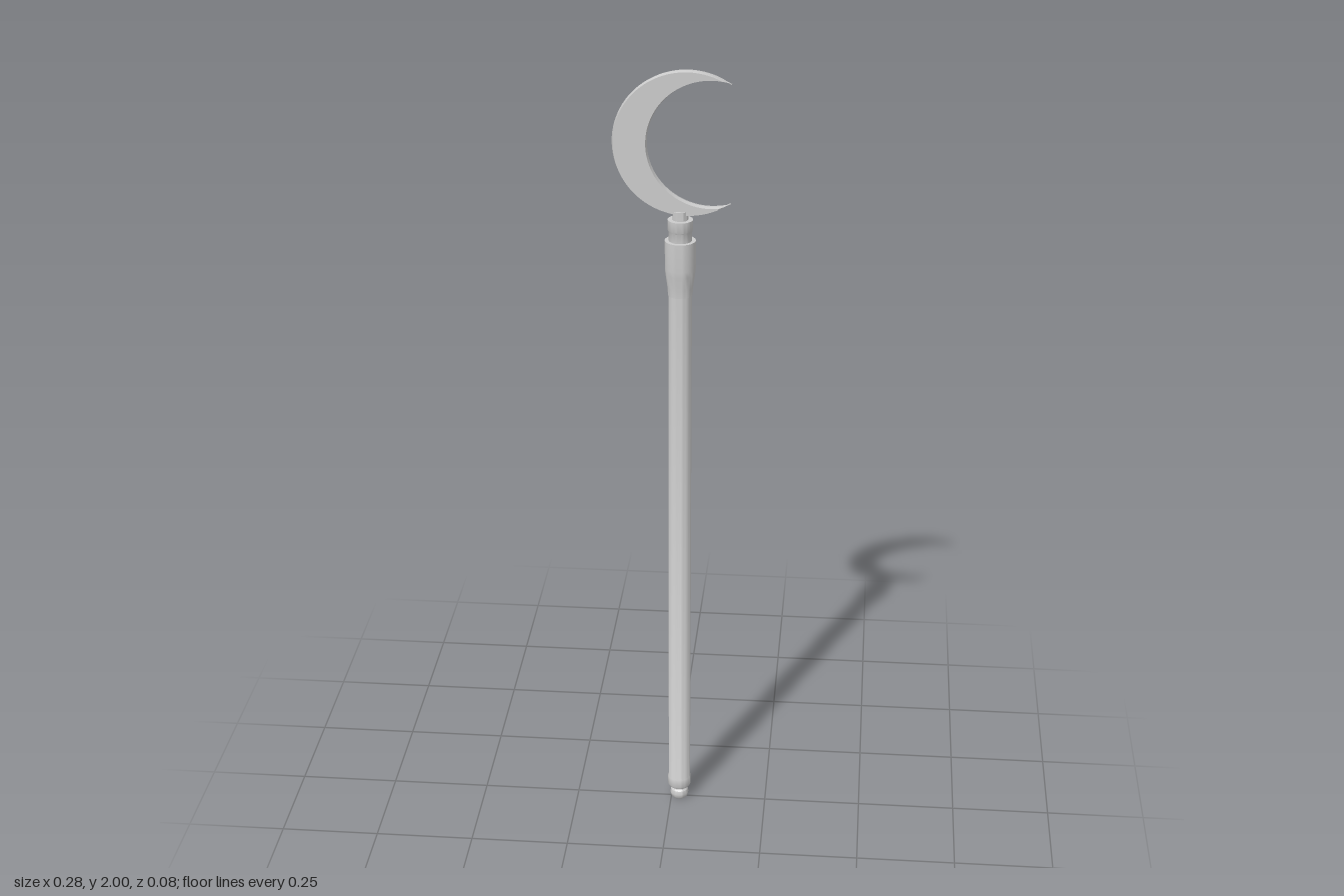
import * as THREE from 'three';
import { toCreasedNormals } from 'three/addons/utils/BufferGeometryUtils.js';

const AXIS_X = 0.021;
const material = new THREE.MeshStandardMaterial({ color: 0xcccccc, side: THREE.DoubleSide });

// Turned part from [radius, height] pairs, listed bottom to top
function turned(name, profile) {
  const points = profile.map(([r, y]) => new THREE.Vector2(r, y));
  const mesh = new THREE.Mesh(toCreasedNormals(new THREE.LatheGeometry(points, 32), 0.6), material);
  mesh.name = name;
  mesh.position.x = AXIS_X;
  return mesh;
}

// Crescent lofted between two arcs that meet at the tips, with a faint ridge along each edge
function crescentGeometry() {
  const outer = { x: 0.036, r: 0.178 }, inner = { x: 0.0963, r: 0.1547 };
  const tip = new THREE.Vector2(0.1405, 0.1438);
  const outerEnd = Math.atan2(tip.y, tip.x - outer.x);
  const innerEnd = Math.atan2(tip.y, tip.x - inner.x);
  const steps = 64, half = 0.012, ridge = 0.003;
  const positions = [], index = [];
  for (let i = 0; i <= steps; i++) {
    const t = i / steps;
    const arc = (c, end) => {
      const a = THREE.MathUtils.lerp(end, 2 * Math.PI - end, t);
      return new THREE.Vector2(c.x + c.r * Math.cos(a), c.r * Math.sin(a));
    };
    const o = arc(outer, outerEnd), n = arc(inner, innerEnd);
    const width = o.distanceTo(n);
    const inset = width > 0 ? Math.min(ridge / width, 0.3) : 0;
    const z = half * Math.min(1, Math.min(t, 1 - t) / 0.045);
    const oi = o.clone().lerp(n, inset), ni = n.clone().lerp(o, inset);
    [[o, 0], [oi, z], [ni, z], [n, 0], [ni, -z], [oi, -z]].forEach(([p, d]) => positions.push(p.x, p.y, d));
  }
  for (let i = 0; i < steps; i++) {
    for (let j = 0; j < 6; j++) {
      const a = i * 6 + j, b = i * 6 + (j + 1) % 6;
      index.push(a, a + 6, b, b, a + 6, b + 6);
    }
  }
  const geometry = new THREE.BufferGeometry();
  geometry.setAttribute('position', new THREE.Float32BufferAttribute(positions, 3));
  geometry.setIndex(index);
  return toCreasedNormals(geometry, 0.35);
}

export function createModel() {
  const group = new THREE.Group();
  group.name = 'crescentStaff';

  // Pommel with a rounded knob and a narrow neck
  group.add(turned('pommel', [
    [0, 0], [0.018, 0], [0.022, 0.005], [0.024, 0.014], [0.022, 0.024], [0.018, 0.028], [0.018, 0.04],
  ]));

  // Long shaft with a slightly wider foot band
  group.add(turned('shaft', [
    [0, 0.036], [0.027, 0.036], [0.03, 0.042], [0.03, 0.065], [0.0285, 0.068], [0.0285, 1.5],
  ]));

  // Flared collar and stepped socket below the blade
  group.add(turned('collar', [
    [0.0285, 1.44], [0.03, 1.44], [0.031, 1.46], [0.036, 1.495], [0.0375, 1.51], [0.0375, 1.58], [0, 1.58],
  ]));
  group.add(turned('socket', [
    [0.028, 1.575], [0.028, 1.603], [0.0305, 1.607], [0.0305, 1.633], [0.019, 1.633], [0.019, 1.655], [0, 1.655],
  ]));

  // Crescent blade, open towards +x
  const blade = new THREE.Mesh(crescentGeometry(), material);
  blade.name = 'crescentBlade';
  blade.position.y = 1.822;
  group.add(blade);

  return group;
}
